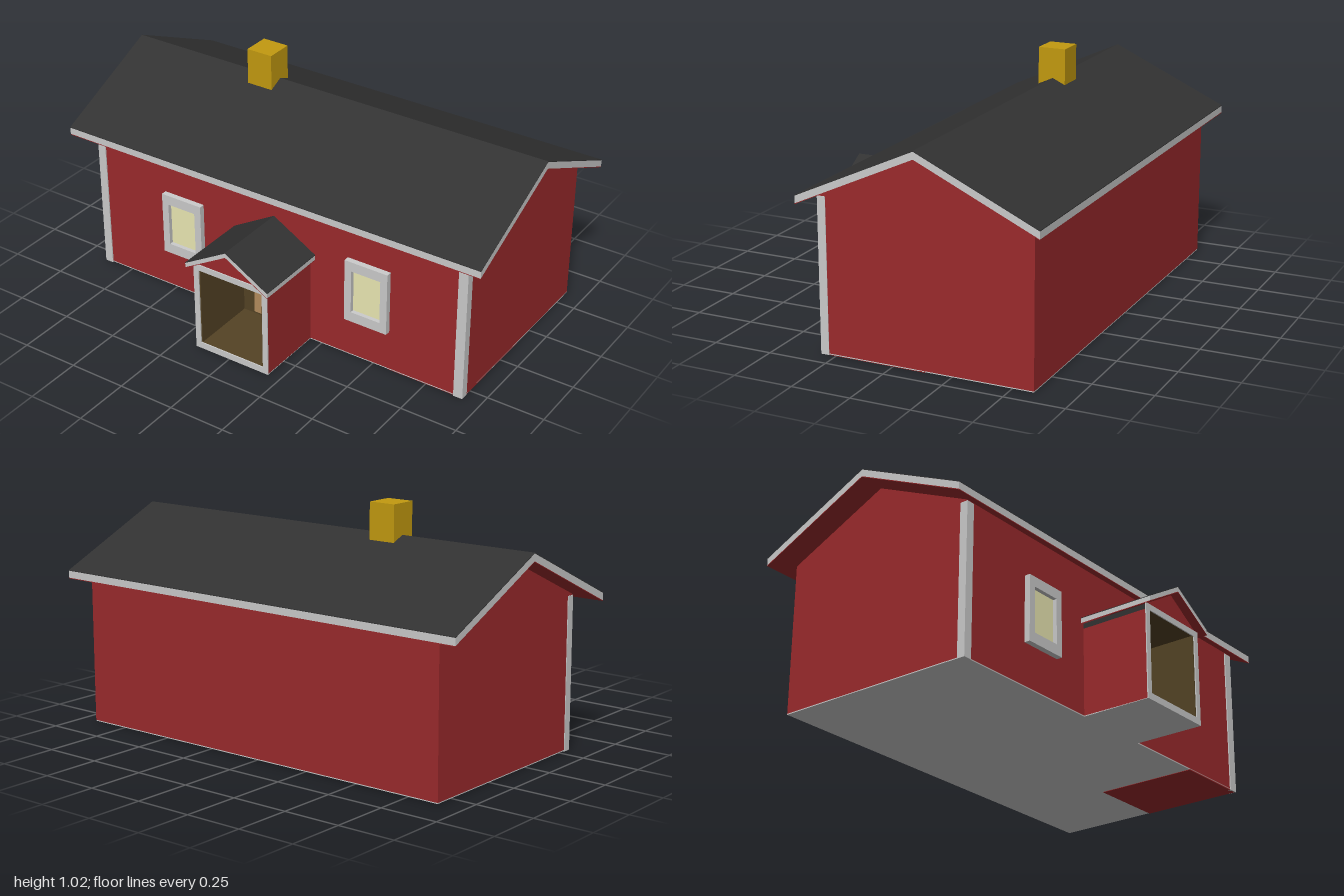
import * as THREE from 'three';

const COLORS = {
  trim: 0xcccccc, wall: 0x9b2a2c, roof: 0x323232, chimney: 0xc39a10,
  glass: 0xebe8b3, door: 0xb58d5e, lining: 0x544325,
};

export function createModel() {
  const house = new THREE.Group();
  house.name = 'house';
  const materials = {};
  for (const key in COLORS) {
    materials[key] = new THREE.MeshStandardMaterial({ color: COLORS[key], flatShading: true });
  }

  function add(name, geometry, material, parent = house) {
    const mesh = new THREE.Mesh(geometry, materials[material]);
    mesh.name = name;
    parent.add(mesh);
    return mesh;
  }

  // Box given by its minimum and maximum on each axis
  function box(name, material, [x0, x1], [y0, y1], [z0, z1], parent) {
    const geometry = new THREE.BoxGeometry(x1 - x0, y1 - y0, z1 - z0);
    geometry.translate((x0 + x1) / 2, (y0 + y1) / 2, (z0 + z1) / 2);
    return add(name, geometry, material, parent);
  }

  const outline = (points) => new THREE.Shape(points.map(([x, y]) => new THREE.Vector2(x, y)));

  function extrude(points, depth, hole) {
    const shape = outline(points);
    if (hole) shape.holes.push(outline(hole));
    return new THREE.ExtrudeGeometry(shape, { depth, bevelEnabled: false });
  }

  const rect = (x0, x1, y0, y1) => [[x0, y0], [x1, y0], [x1, y1], [x0, y1]];

  // Gable roof in three layers: dark covering, grey edge boards, soffit
  function gableRoof(name, half, eave, apex, thickness, length) {
    const roof = new THREE.Group();
    roof.name = name;
    const skin = 0.003;
    const layer = (part, material, top, bottom) => add(part, extrude([
      [-half, eave - bottom], [0, apex - bottom], [half, eave - bottom],
      [half, eave - top], [0, apex - top], [-half, eave - top],
    ], length), material, roof);
    layer('roofCovering', 'roof', 0, skin);
    layer('edgeBoards', 'trim', skin, thickness - skin);
    layer('soffit', 'wall', thickness - skin, thickness);
    house.add(roof);
    return roof;
  }

  // Main house: gabled body running along x
  const body = extrude([
    [-0.45, 0.006], [0.45, 0.006], [0.45, 0.649], [0, 0.854], [-0.45, 0.649],
  ], 1.81);
  body.rotateY(Math.PI / 2);
  body.translate(-0.89, 0, -0.14);
  add('walls', body, 'wall');
  box('floor', 'trim', [-0.89, 0.92], [0.002, 0.006], [-0.59, 0.31]);
  box('floorPatch', 'wall', [0.57, 0.92], [0, 0.004], [-0.14, 0.31]);

  const mainRoof = gableRoof('mainRoof', 0.505, 0.66, 0.892, 0.036, 2);
  mainRoof.rotation.y = Math.PI / 2;
  mainRoof.position.set(-1, 0, -0.14);

  box('chimney', 'chimney', [-0.38, -0.26], [0.8, 1.02], [-0.195, -0.075]);

  // Front corner boards
  for (const [x0, x1] of [[-0.893, -0.855], [0.88, 0.922]]) {
    box('cornerBoard', 'trim', [x0, x1], [0, 0.643], [0.28, 0.315]);
  }

  // Front windows
  for (const x of [-0.44, 0.475]) {
    const frame = extrude(rect(-0.1, 0.1, 0.185, 0.468), 0.025, rect(-0.068, 0.068, 0.23, 0.425));
    frame.translate(x, 0, 0.31);
    add('windowFrame', frame, 'trim');
    box('windowPane', 'glass', [x - 0.07, x + 0.07], [0.228, 0.427], [0.305, 0.317]);
  }

  // Porch walls with brown lining and a dark plate on top
  const porch = new THREE.Group();
  porch.name = 'porch';
  house.add(porch);
  const depth = [0.31, 0.61];
  for (const side of [-1, 1]) {
    const span = (a, b) => [0.015 + side * a, 0.015 + side * b].sort((p, q) => p - q);
    box('porchWall', 'wall', span(0.16, 0.18), [0.004, 0.38], depth, porch);
    box('wallPlate', 'roof', span(0.16, 0.18), [0.38, 0.402], depth, porch);
    box('sideLining', 'lining', span(0.15, 0.16), [0.01, 0.395], depth, porch);
  }
  box('porchBase', 'trim', [-0.165, 0.195], [0.002, 0.006], depth, porch);
  box('porchFloor', 'lining', [-0.145, 0.175], [0.006, 0.03], depth, porch);
  box('porchCeiling', 'lining', [-0.145, 0.175], [0.385, 0.4], depth, porch);
  box('backLining', 'lining', [-0.145, 0.175], [0.03, 0.385], [0.31, 0.318], porch);

  // Entrance frame and gable
  const entrance = extrude(rect(-0.165, 0.195, 0.002, 0.408), 0.005, rect(-0.14, 0.17, 0.03, 0.382));
  entrance.translate(0, 0, 0.61);
  add('entranceFrame', entrance, 'trim', porch);
  const gable = extrude([[-0.165, 0.402], [0.195, 0.402], [0.018, 0.509]], 0.3);
  gable.translate(0, 0, 0.31);
  add('porchGable', gable, 'wall', porch);

  const porchRoof = gableRoof('porchRoof', 0.2, 0.422, 0.538, 0.026, 0.345);
  porchRoof.position.set(0.018, 0, 0.3);

  // Front door
  box('door', 'door', [-0.075, 0.105], [0.045, 0.362], [0.318, 0.328]);
  const knob = new THREE.SphereGeometry(0.007, 10, 8);
  knob.translate(-0.053, 0.19, 0.332);
  add('doorKnob', knob, 'trim');

  return house;
}
